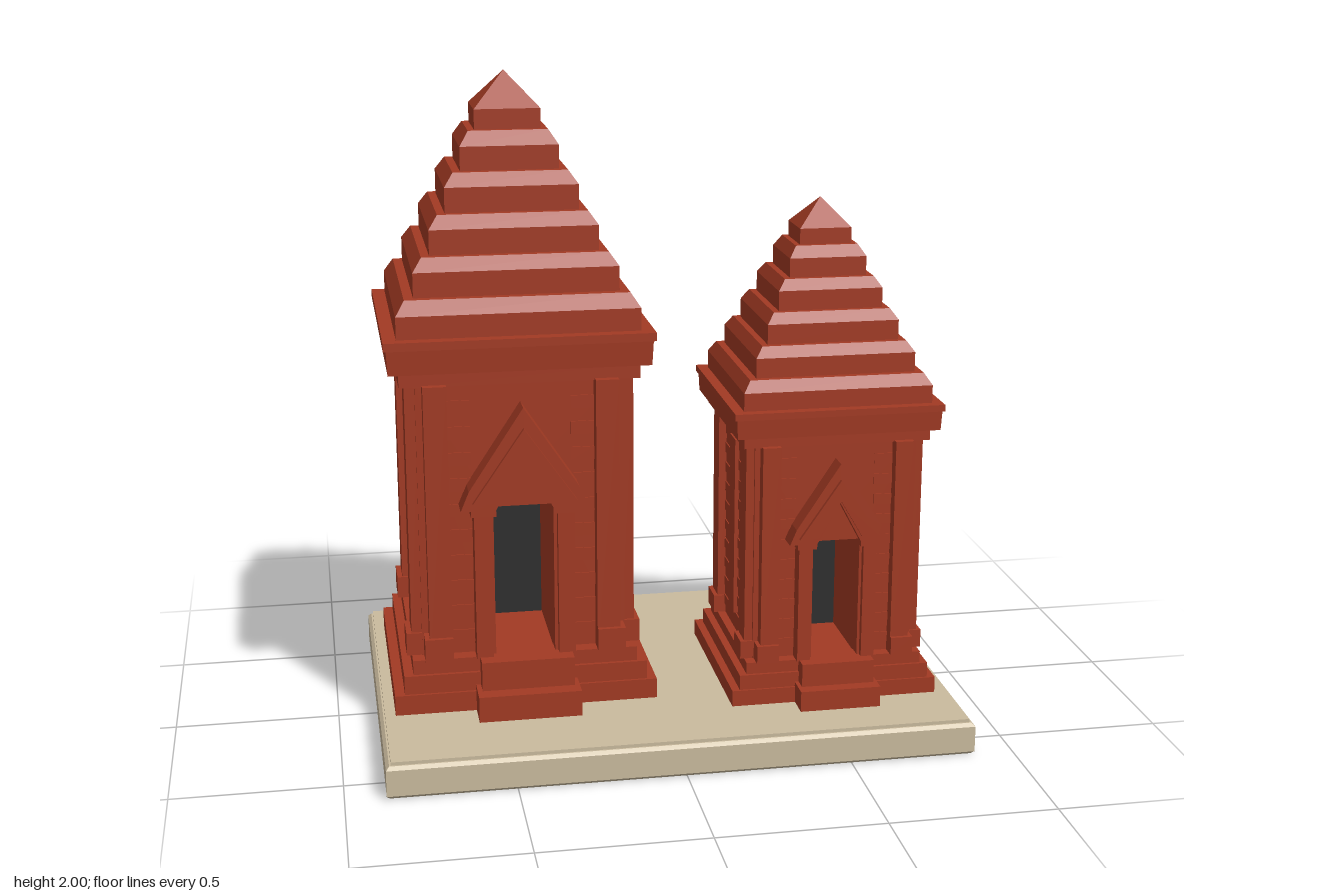
import * as THREE from 'three';

const brick = new THREE.MeshStandardMaterial({ name: 'redBrick', color: 0xa23a23 });
const stone = new THREE.MeshStandardMaterial({ name: 'sandstone', color: 0xcabb9e });
const dark = new THREE.MeshStandardMaterial({ name: 'darkInterior', color: 0x2e2e2e });

function add(parent, name, geometry, material = brick) {
  const mesh = new THREE.Mesh(geometry, material);
  mesh.name = name;
  parent.add(mesh);
  return mesh;
}

// Box given by its extents along x, y and z
function block(parent, name, [x0, x1], [y0, y1], [z0, z1], material) {
  const g = new THREE.BoxGeometry(x1 - x0, y1 - y0, z1 - z0);
  g.translate((x0 + x1) / 2, (y0 + y1) / 2, (z0 + z1) / 2);
  return add(parent, name, g, material);
}

// Centred box whose top may be smaller than its bottom
function taper(parent, name, y0, y1, bottom, top, material) {
  const g = new THREE.BoxGeometry(2, y1 - y0, 2);
  const p = g.attributes.position;
  for (let i = 0; i < p.count; i++) {
    const half = p.getY(i) > 0 ? top : bottom;
    p.setXYZ(i, p.getX(i) * half[0], p.getY(i) + (y0 + y1) / 2, p.getZ(i) * half[1]);
  }
  g.computeVertexNormals();
  return add(parent, name, g, material);
}

function outline(points) {
  return new THREE.Shape(points.map(([x, y]) => new THREE.Vector2(x, y)));
}

function plate(parent, name, points, z0, z1) {
  const g = new THREE.ExtrudeGeometry(outline(points), { depth: z1 - z0, bevelEnabled: false });
  g.translate(0, 0, z0);
  return add(parent, name, g);
}

const DEPTH = 0.935; // the towers are slightly shallower than wide
const square = (h) => [h, h * DEPTH];

// Tower with y = 0 on the top of the terrace
function createTower() {
  const t = new THREE.Group();

  // Stepped plinth
  block(t, 'plinthLower', [-0.4, 0.4], [0, 0.062], [-0.374, 0.374]);
  block(t, 'plinthMiddle', [-0.37, 0.37], [0.062, 0.12], [-0.346, 0.366]);
  block(t, 'plinthUpper', [-0.342, 0.342], [0.12, 0.165], [-0.318, 0.355]);

  // Walls, with a deep doorway in the front
  block(t, 'rearWall', [-0.31, 0.31], [0.165, 1.015], [-0.305, 0]);
  plate(t, 'frontWall', [
    [-0.31, 0.165], [-0.09, 0.165], [-0.09, 0.637], [0.09, 0.637],
    [0.09, 0.165], [0.31, 0.165], [0.31, 1.015], [-0.31, 1.015],
  ], 0, 0.31);
  block(t, 'doorDarkness', [-0.09, 0.09], [0.165, 0.637], [0, 0.005], dark);

  // Fine brick courses on the front and side walls
  for (let i = 0; i < 10; i++) {
    const y = [0.2 + i * 0.08, 0.24 + i * 0.08];
    for (const s of [-1, 1]) {
      block(t, 'frontCourse', s < 0 ? [-0.22, -0.15] : [0.15, 0.22], y, [0.31, 0.314]);
      block(t, 'sideCourse', s < 0 ? [-0.314, -0.31] : [0.31, 0.314], y, [-0.2, 0.2]);
    }
  }

  for (const s of [-1, 1]) {
    const span = (a, b) => (s < 0 ? [-b, -a] : [a, b]);

    // Front pilasters
    block(t, 'frontPilaster', span(0.22, 0.29), [0.165, 1.015], [0.3, 0.358]);
    block(t, 'frontPilasterBase', span(0.22, 0.305), [0.165, 0.235], [0.3, 0.372]);

    // Side pilasters and the narrow false door between them
    for (const [z0, z1] of [[-0.293, -0.195], [0.205, 0.3]]) {
      block(t, 'sidePilaster', span(0.3, 0.341), [0.165, 1.015], [z0, z1]);
      block(t, 'sidePilasterBase', span(0.3, 0.357), [0.165, 0.235], [z0 - 0.008, z1 + 0.008]);
    }
    block(t, 'falseDoor', span(0.3, 0.328), [0.25, 0.96], [-0.05, 0.045]);

    // Door columns
    block(t, 'doorColumn', span(0.1, 0.15), [0.165, 0.62], [0.3, 0.375]);
    block(t, 'doorJamb', span(0.09, 0.105), [0.165, 0.637], [0.3, 0.35]);
    block(t, 'doorCapital', span(0.085, 0.16), [0.62, 0.665], [0.3, 0.39]);
  }

  // Pointed gable in two layers above a recessed panel
  plate(t, 'gablePanel', [[-0.1, 0.637], [0.1, 0.637], [0, 0.81]], 0.3, 0.345);
  plate(t, 'gableOuter', [
    [-0.19, 0.64], [-0.14, 0.64], [-0.085, 0.64], [0, 0.8], [0.085, 0.64],
    [0.14, 0.64], [0.19, 0.64], [0.165, 0.7], [0, 0.95], [-0.165, 0.7],
  ], 0.3, 0.39);
  plate(t, 'gableInner', [
    [-0.155, 0.665], [-0.085, 0.665], [0, 0.81], [0.085, 0.665],
    [0.155, 0.665], [0, 0.89],
  ], 0.38, 0.405);

  // Entrance steps
  block(t, 'lowerStep', [-0.155, 0.155], [0, 0.08], [0.3, 0.468]);
  block(t, 'upperStep', [-0.14, 0.14], [0.08, 0.17], [0.3, 0.42]);

  // Cornice
  taper(t, 'corniceLower', 1.01, 1.055, square(0.357), square(0.357));
  taper(t, 'corniceMiddle', 1.055, 1.13, square(0.388), square(0.392));
  taper(t, 'corniceUpper', 1.13, 1.155, square(0.4), square(0.4));

  // Stepped roof, each tier with a sloping shoulder
  const tiers = [
    [0.36, 1.155, 1.223, 1.266], [0.304, 1.266, 1.34, 1.38], [0.251, 1.38, 1.455, 1.495],
    [0.199, 1.495, 1.57, 1.61], [0.147, 1.61, 1.682, 1.725],
  ];
  for (const [h, y0, y1, y2] of tiers) {
    taper(t, 'roofTier', y0, y1, square(h), square(h));
    taper(t, 'roofShoulder', y1, y2, square(h), square(h - 0.028));
  }
  taper(t, 'roofCap', 1.725, 1.785, square(0.099), square(0.099));
  // Four-sided finial
  const finial = new THREE.ConeGeometry(0.099 * Math.SQRT2, 0.105, 4).toNonIndexed();
  finial.rotateY(Math.PI / 4).scale(1, 1, DEPTH).translate(0, 1.8375, 0);
  finial.computeVertexNormals();
  add(t, 'roofFinial', finial);
  return t;
}

export function createModel() {
  const model = new THREE.Group();
  model.name = 'twinBrickTowers';

  // Terrace with chamfered edges
  const terrace = new THREE.Group();
  terrace.name = 'terrace';
  taper(terrace, 'terraceFoot', 0, 0.01, [0.87, 0.605], [0.88, 0.615], stone);
  taper(terrace, 'terraceBody', 0.01, 0.09, [0.88, 0.615], [0.88, 0.615], stone);
  taper(terrace, 'terraceChamfer', 0.09, 0.1, [0.88, 0.615], [0.87, 0.605], stone);
  taper(terrace, 'terraceTop', 0.1, 0.11, [0.865, 0.6], [0.865, 0.6], stone);
  model.add(terrace);

  const large = createTower();
  large.name = 'largeTower';
  large.position.set(-0.433, 0.11, -0.095);

  const small = createTower();
  small.name = 'smallTower';
  small.scale.setScalar(0.8);
  small.position.set(0.502, 0.11, 0.088);

  model.add(large, small);
  return model;
}
